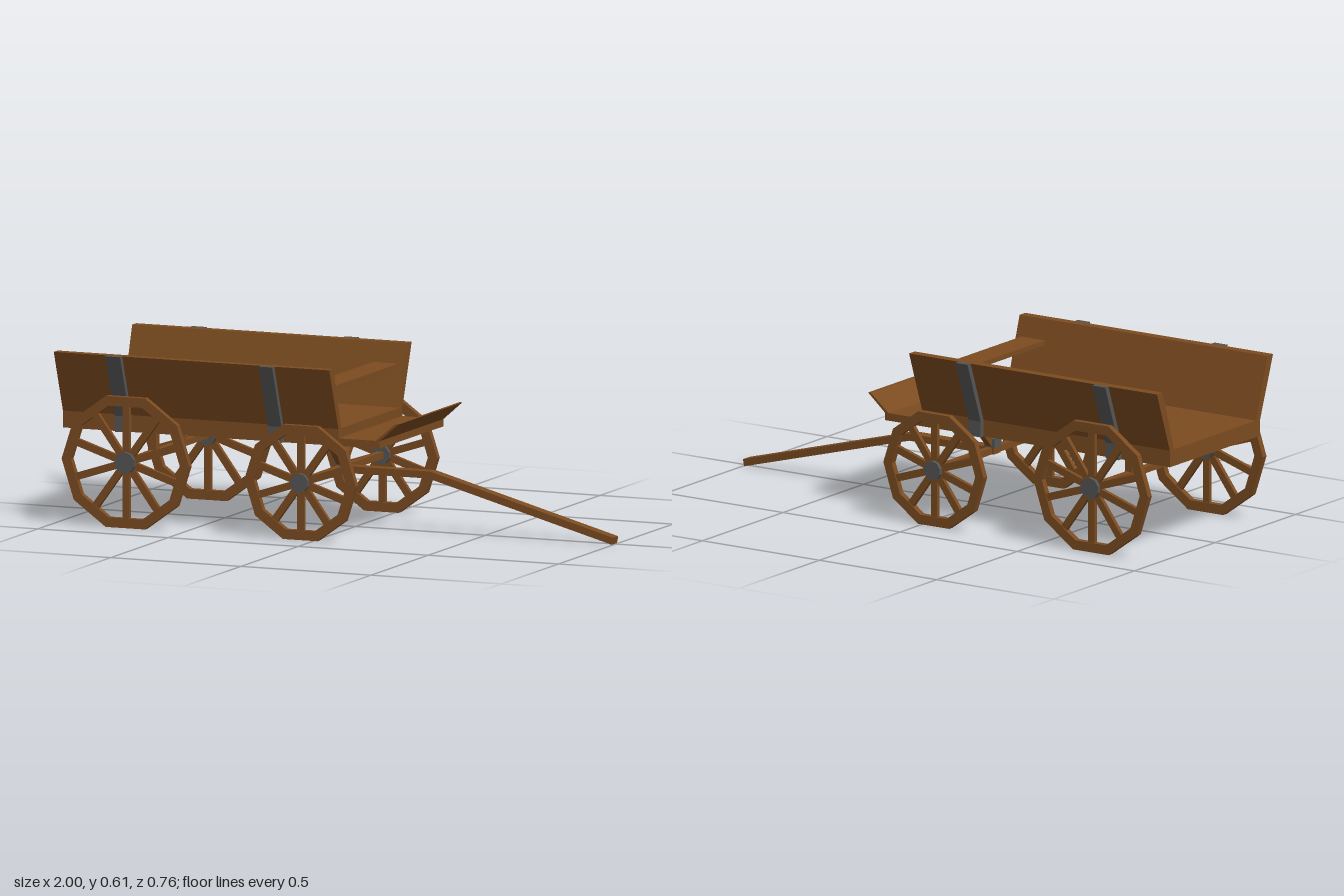
import * as THREE from 'three';

const wood = new THREE.MeshStandardMaterial({ color: 0x7b4b20, flatShading: true });
const iron = new THREE.MeshStandardMaterial({ color: 0x555555, flatShading: true });

function add(parent, name, geometry, material = wood) {
  const mesh = new THREE.Mesh(geometry, material);
  mesh.name = name;
  parent.add(mesh);
  return mesh;
}

// box given by its limits on each axis
function box(x0, x1, y0, y1, z0, z1) {
  return new THREE.BoxGeometry(x1 - x0, y1 - y0, z1 - z0)
    .translate((x0 + x1) / 2, (y0 + y1) / 2, (z0 + z1) / 2);
}

function extrude(points, depth) {
  const shape = new THREE.Shape(points.map(([a, b]) => new THREE.Vector2(a, b)));
  return new THREE.ExtrudeGeometry(shape, { depth, bevelEnabled: false });
}

// profile in (z, y) swept along x; side = 1 or -1 mirrors it
function alongX(points, side, x0, x1) {
  return extrude(points.map(([z, y]) => [-z * side, y]), x1 - x0)
    .rotateY(Math.PI / 2).translate(x0, 0, 0);
}

// profile in (x, y) swept across z, centred
function acrossZ(points, width) {
  return extrude(points, width).translate(0, 0, -width / 2);
}

const SIDES = 10;
function ring(r) {
  return Array.from({ length: SIDES }, (_, i) => {
    const a = (i / SIDES) * Math.PI * 2;
    return new THREE.Vector2(r * Math.cos(a), r * Math.sin(a));
  });
}

// ten-sided rim, ten spokes to the middle of each segment, iron hub
function wheel(name, radius, hubRadius) {
  const g = new THREE.Group();
  g.name = name;
  const inner = radius - 0.036;
  const shape = new THREE.Shape(ring(radius));
  shape.holes.push(new THREE.Path(ring(inner).reverse()));
  add(g, 'rim', new THREE.ExtrudeGeometry(shape, { depth: 0.023, bevelEnabled: false })
    .translate(0, 0, -0.0115));
  const reach = inner * Math.cos(Math.PI / SIDES) + 0.005;
  for (let i = 0; i < SIDES; i++) {
    const a = ((i + 0.5) / SIDES) * Math.PI * 2;
    add(g, 'spoke', new THREE.BoxGeometry(reach, 0.026, 0.016)
      .translate(reach / 2, 0, 0).rotateZ(a));
  }
  add(g, 'hub', new THREE.CylinderGeometry(hubRadius, hubRadius, 0.043, SIDES)
    .rotateX(Math.PI / 2), iron);
  return g;
}

export function createModel() {
  const wagon = new THREE.Group();
  wagon.name = 'wagon';

  // bed and flared sides
  add(wagon, 'bedFloor', box(-1, 0.058, 0.33, 0.39, -0.28, 0.28));
  const board = [[0.28, 0.39], [0.36, 0.61], [0.325, 0.61], [0.255, 0.39]];
  const strap = [[0.28, 0.33], [0.298, 0.33], [0.298, 0.387], [0.38, 0.61], [0.36, 0.61], [0.28, 0.39]];
  for (const s of [1, -1]) {
    add(wagon, 'sideBoard', alongX(board, s, -1, 0.058));
    add(wagon, 'sideStrap', alongX(strap, s, -0.793, -0.737), iron);
    add(wagon, 'sideStrap', alongX(strap, s, -0.205, -0.153), iron);
  }

  // seat plank and footboard with raised toe
  add(wagon, 'seat', box(-0.065, 0.035, 0.522, 0.539, -0.302, 0.302));
  add(wagon, 'footboard', acrossZ([[0.058, 0.33], [0.215, 0.33], [0.215, 0.357],
    [0.058, 0.357]], 0.56));
  add(wagon, 'toeBoard', acrossZ([[0.2, 0.356], [0.215, 0.356], [0.288, 0.42], [0.276, 0.42]], 0.56));

  // wheels
  const rear = { x: -0.722, y: 0.234 }, front = { x: -0.051, y: 0.204 };
  for (const s of [1, -1]) {
    const rw = wheel('rearWheel', 0.245, 0.039);
    rw.position.set(rear.x, rear.y, s * 0.3555);
    const fw = wheel('frontWheel', 0.214, 0.035);
    fw.position.set(front.x, front.y, s * 0.3555);
    wagon.add(rw, fw);
  }

  // axles and their supports
  add(wagon, 'rearAxle', box(rear.x - 0.012, rear.x + 0.012, 0.223, 0.245, -0.345, 0.345));
  add(wagon, 'frontAxle', box(front.x - 0.012, front.x + 0.012, 0.192, 0.216, -0.345, 0.345));
  const brace = [[0.132, 0.33], [0.103, 0.33], [0.015, 0.242], [0.015, 0.218], [0.025, 0.222]];
  for (const s of [1, -1]) {
    add(wagon, 'rearPost', alongX([[0.102, 0.24], [0.133, 0.24], [0.133, 0.332], [0.102, 0.332]],
      s, rear.x - 0.015, rear.x + 0.015));
    add(wagon, 'frontBrace', alongX(brace, s, front.x - 0.012, front.x + 0.012));
  }
  add(wagon, 'pivotBlock', box(front.x - 0.022, front.x + 0.022, 0.215, 0.249, -0.022, 0.022), iron);

  // drawbar: level, then sloping to the ground
  add(wagon, 'drawbar', acrossZ([[-0.07, 0.192], [0.29, 0.192], [0.995, 0], [1, 0.025],
    [0.297, 0.217], [-0.07, 0.217]], 0.044));

  return wagon;
}
